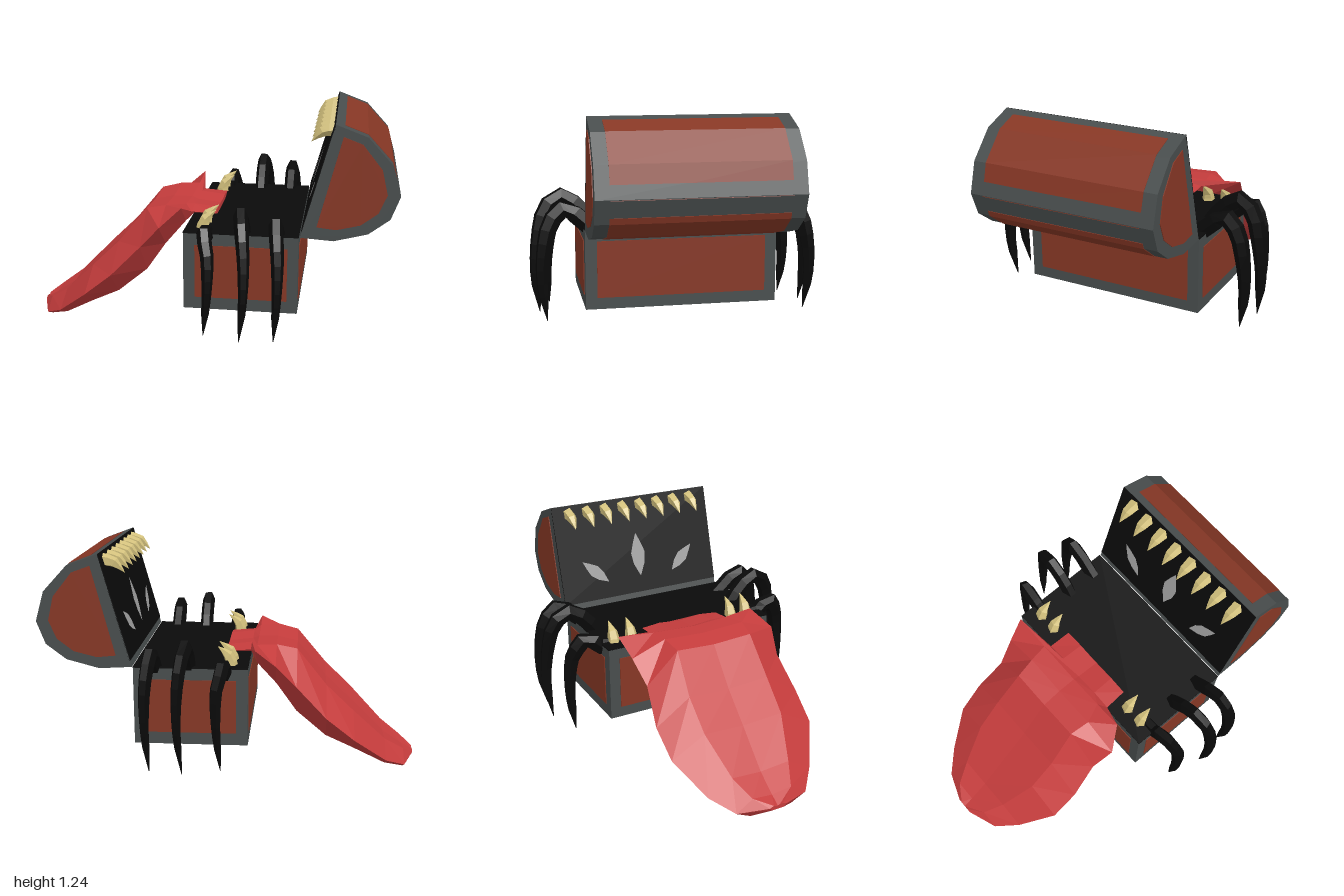
import * as THREE from 'three';

const mat = (name, color, side = THREE.FrontSide) => {
  const m = new THREE.MeshStandardMaterial({ color, side });
  m.name = name;
  return m;
};

export function createModel() {
  const wood = mat('red wood', 0x863725);
  const iron = mat('grey iron', 0x484d4d);
  const black = mat('black', 0x0a0a0a, THREE.DoubleSide);
  const red = mat('tongue red', 0xc43c3c, THREE.DoubleSide);
  const ivory = mat('ivory', 0xd2c07c, THREE.DoubleSide);
  const pale = mat('pale grey', 0xa0a0a0, THREE.DoubleSide);

  const model = new THREE.Group();
  const add = (name, geo, material, parent = model) => {
    const mesh = new THREE.Mesh(geo, material);
    mesh.name = name;
    parent.add(mesh);
    return mesh;
  };
  const box = (name, x0, x1, y0, y1, z0, z1, material) =>
    add(name, new THREE.BoxGeometry(x1 - x0, y1 - y0, z1 - z0), material)
      .position.set((x0 + x1) / 2, (y0 + y1) / 2, (z0 + z1) / 2);
  // Extrude an x-y outline along z, centred on zc
  const slab = (name, pts, depth, zc, material) => {
    const shape = new THREE.Shape(pts.map(p => new THREE.Vector2(...p)));
    const geo = new THREE.ExtrudeGeometry(shape, { depth, bevelEnabled: false });
    return add(name, geo.translate(0, 0, zc - depth / 2), material);
  };
  // Faceted tube that follows a curve and tapers through a list of radii
  const taper = (pts, radii, sides, steps, squashX = 1) => {
    const curve = new THREE.CatmullRomCurve3(pts.map(p => new THREE.Vector3(...p)));
    const geo = new THREE.TubeGeometry(curve, steps, 1, sides);
    const pos = geo.attributes.position, v = new THREE.Vector3();
    for (let i = 0; i < pos.count; i++) {
      const u = Math.floor(i / (sides + 1)) / steps;
      const c = curve.getPointAt(u), f = u * (radii.length - 1);
      const k = Math.min(Math.floor(f), radii.length - 2);
      const r = THREE.MathUtils.lerp(radii[k], radii[k + 1], f - k);
      v.fromBufferAttribute(pos, i).sub(c).multiplyScalar(r);
      v.x *= squashX;
      v.add(c);
      pos.setXYZ(i, v.x, v.y, v.z);
    }
    const flat = geo.toNonIndexed();
    flat.computeVertexNormals();
    return flat;
  };

  // Chest base with inset wooden panels and a black mouth floor
  box('chestBase', -0.09, 0.505, 0.24, 0.655, -0.5, 0.5, iron);
  box('mouthFloor', -0.09, 0.505, 0.652, 0.659, -0.503, 0.503, black);
  box('frontEndPanel', -0.094, -0.088, 0.3, 0.595, -0.44, 0.44, wood);
  box('backEndPanel', 0.503, 0.509, 0.3, 0.595, -0.44, 0.44, wood);
  for (const s of [-1, 1])
    box('sidePanel', -0.03, 0.45, 0.305, 0.59, s * 0.5 - 0.004, s * 0.5 + 0.004, wood);

  // Open lid
  slab('lid', [[0.51, 0.655], [0.68, 0.645], [0.85, 0.69], [0.955, 0.77], [1.0, 0.89],
    [0.955, 1.045], [0.83, 1.18], [0.67, 1.24]], 1, 0, iron);
  const aroundCentre = (p, k) => [0.74 + (p[0] - 0.74) * k, 0.92 + (p[1] - 0.92) * k];
  const shell = (name, path) => slab(name, [
    ...path.map(p => aroundCentre(p, 1.01)),
    ...path.map(p => aroundCentre(p, 0.98)).reverse()], 0.86, 0, wood);
  shell('upperLidPanel', [[0.997, 0.885], [0.955, 1.045], [0.83, 1.18], [0.715, 1.223]]);
  shell('lowerLidPanel', [[0.565, 0.652], [0.68, 0.645], [0.85, 0.69], [0.955, 0.77], [0.966, 0.8]]);
  for (const s of [-1, 1])
    slab('lidEndPanel', [[0.592, 0.715], [0.69, 0.705], [0.81, 0.735], [0.895, 0.8], [0.935, 0.895],
      [0.905, 1.02], [0.805, 1.145], [0.71, 1.18]], 0.008, s * 0.5, wood);

  // Inner face of the lid: local x runs along z, local y up the lid
  const face = new THREE.Group();
  face.name = 'lidFace';
  const up = new THREE.Vector3(0.16, 0.585, 0).normalize();
  const out = new THREE.Vector3(-up.y, up.x, 0);
  face.quaternion.setFromRotationMatrix(
    new THREE.Matrix4().makeBasis(new THREE.Vector3(0, 0, 1), up, out));
  face.position.set(0.51, 0.655, 0);
  model.add(face);
  const lining = add('lidLining', new THREE.BoxGeometry(1, 0.57, 0.008), black, face);
  lining.position.y = 0.035 + 0.285;
  const eye = (name, x0, y0, x1, y1, w) => {
    const a = new THREE.Vector2(x0, y0), b = new THREE.Vector2(x1, y1);
    const n = new THREE.Vector2(y0 - y1, x1 - x0).normalize().multiplyScalar(w);
    const at = (t, k) => a.clone().lerp(b, t).addScaledVector(n, k);
    const shape = new THREE.Shape([a, at(0.3, -0.8), at(0.55, -1), at(0.8, -0.5), b,
      at(0.8, 0.5), at(0.55, 1), at(0.3, 0.8)]);
    add(name, new THREE.ShapeGeometry(shape), pale, face).position.z = 0.007;
  };
  eye('middleEye', 0, 0.13, 0, 0.39, 0.045);
  for (const s of [-1, 1]) eye('sideEye', s * 0.21, 0.13, s * 0.36, 0.27, 0.035);

  // Curved teeth on the lid and at the lower corners
  for (let i = 0; i < 8; i++) {
    const z = -0.4 + i * 0.1125;
    add('upperTooth', taper([[0.675, 1.195, z], [0.61, 1.185, z], [0.55, 1.13, z]],
      [0.037, 0.028, 0.001], 5, 4), ivory);
  }
  for (const z of [-0.43, -0.325, 0.31, 0.41])
    add('lowerTooth', taper([[0, 0.64, z], [0.01, 0.7, z], [0.07, 0.755, z]],
      [0.038, 0.028, 0.001], 5, 4), ivory);

  // Three spider legs on each side: x, x drift, knee height, reach, tip z
  const legs = [
    [0.03, 0.03, 0.7, 0.675, 0.66],
    [0.22, 0.03, 0.785, 0.74, 0.72],
    [0.395, 0.02, 0.75, 0.715, 0.69],
  ];
  for (const s of [-1, 1])
    for (const [x, drift, knee, reach, tip] of legs) {
      const pts = [
        [x, 0.63, 0.44], [x, knee - 0.06, 0.51], [x, knee, 0.5 + (reach - 0.5) * 0.42],
        [x + drift * 0.5, knee - 0.06, 0.5 + (reach - 0.5) * 0.74],
        [x + drift, 0.58, reach - 0.02], [x + drift, 0.38, reach], [x + drift * 0.3, 0.16, tip],
      ].map(p => [p[0], p[1], s * p[2]]);
      add('leg', taper(pts, [0.05, 0.05, 0.048, 0.042, 0.034, 0.026, 0.002], 6, 12, 0.75), black);
    }

  // Tongue cross-sections: x, ridge y, edge y, underside y, half width at -z, half width at +z
  const rows = [
    [-1, 0.065, 0.055, 0.04, 0.05, 0.05],
    [-0.94, 0.1, 0.04, 0.0, 0.21, 0.21],
    [-0.83, 0.175, 0.1, 0.04, 0.31, 0.31],
    [-0.65, 0.355, 0.25, 0.15, 0.42, 0.43],
    [-0.5, 0.5, 0.37, 0.22, 0.43, 0.435],
    [-0.34, 0.695, 0.53, 0.35, 0.4, 0.41],
    [-0.23, 0.72, 0.65, 0.51, 0.43, 0.44],
    [-0.125, 0.72, 0.74, 0.63, 0.46, 0.36],
    [-0.09, 0.705, 0.69, 0.656, 0.24, 0.24],
    [0.04, 0.69, 0.68, 0.656, 0.24, 0.23],
  ];
  const ring = ([x, top, edge, bot, l, r]) => [
    [x, edge, -l], [x, top, -l * 0.55], [x, top - 0.012, 0], [x, top, r * 0.55],
    [x, edge, r], [x, bot, r * 0.6], [x, bot, -l * 0.6]];
  const topFaces = [], underFaces = [];
  const rings = rows.map(ring);
  for (let i = 0; i < rings.length - 1; i++)
    for (let j = 0; j < 7; j++) {
      const k = (j + 1) % 7, [a, b, c, d] = [rings[i][j], rings[i][k], rings[i + 1][k], rings[i + 1][j]];
      (j === 5 && i > 0 ? underFaces : topFaces).push(...a, ...b, ...c, ...a, ...c, ...d);
    }
  // Close both ends
  for (const [r, flip] of [[rings[0], true], [rings[rings.length - 1], false]])
    for (let j = 1; j < 6; j++)
      topFaces.push(...r[0], ...(flip ? r[j + 1] : r[j]), ...(flip ? r[j] : r[j + 1]));
  const facets = list => {
    const geo = new THREE.BufferGeometry();
    geo.setAttribute('position', new THREE.Float32BufferAttribute(list, 3));
    geo.computeVertexNormals();
    return geo;
  };
  add('tongue', facets(topFaces), red);
  add('tongueUnderside', facets(underFaces), wood);

  return model;
}
